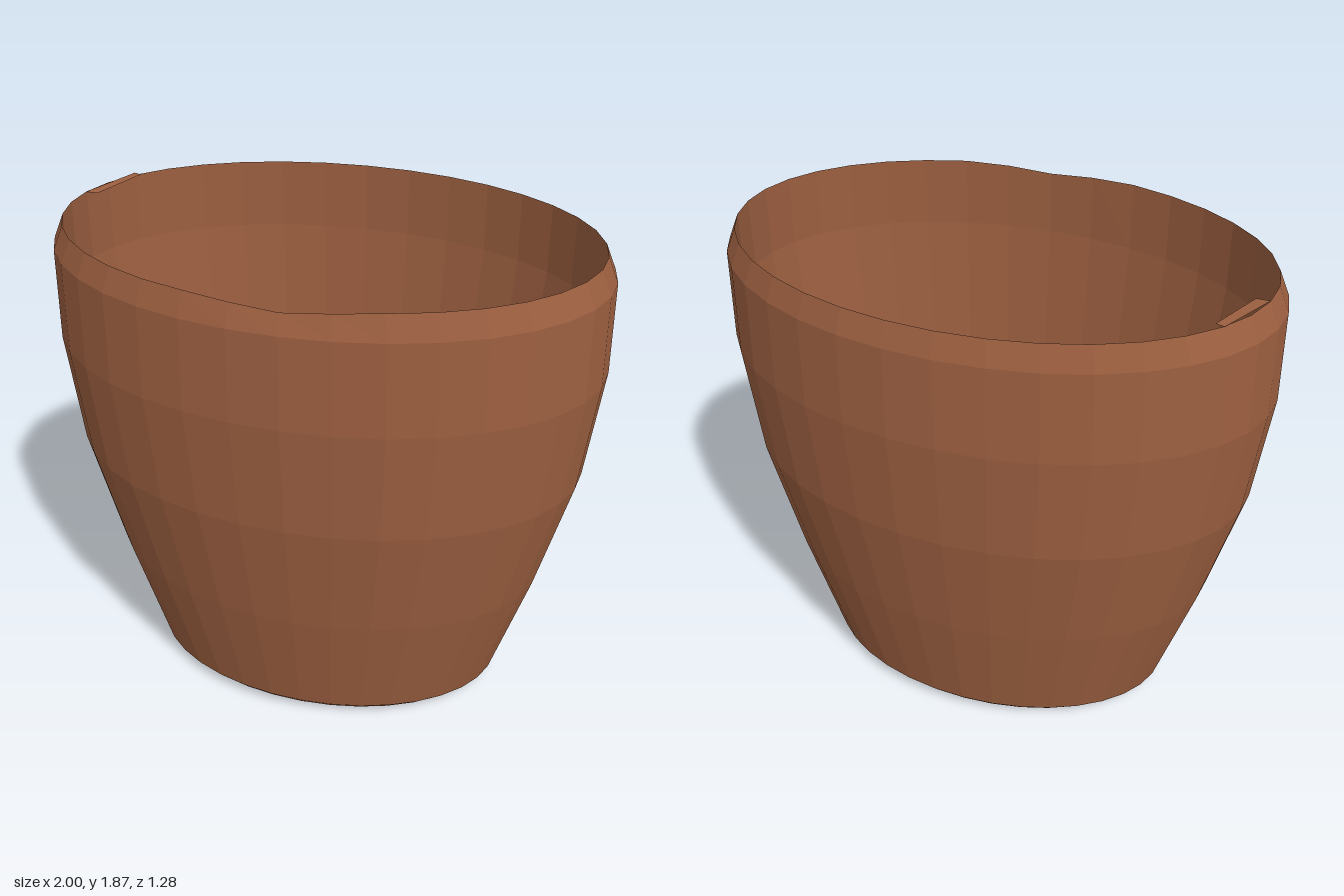
import * as THREE from 'three';

const SIDES = 36;
const DEPTH = 0.642; // oval: depth relative to width

// Lathe a profile of [radius, height] pairs, squash it to an oval and dip the front lip
function ovalLathe(profile) {
  const pts = profile.map(([r, y]) => new THREE.Vector2(r, y));
  const geo = new THREE.LatheGeometry(pts, SIDES);
  geo.scale(1, 1, DEPTH);
  const pos = geo.attributes.position;
  for (let i = 0; i < pos.count; i++) {
    const x = Math.abs(pos.getX(i));
    if (pos.getY(i) > 1.85 && pos.getZ(i) > 0 && x < 0.28) {
      pos.setY(i, pos.getY(i) - 0.02 * (1 - x / 0.28));
    }
  }
  geo.computeVertexNormals();
  return geo;
}

export function createModel() {
  const group = new THREE.Group();
  group.name = 'ovalPot';
  const clay = new THREE.MeshStandardMaterial({ color: 0x9c5f40, side: THREE.DoubleSide, flatShading: true });
  clay.name = 'terracotta';

  const add = (name, geo) => {
    const mesh = new THREE.Mesh(geo, clay);
    mesh.name = name;
    group.add(mesh);
  };

  // Outer wall with shallow domed base and bevelled lip
  add('outerWall', ovalLathe([
    [0, 0], [0.4, 0.01], [0.67, 0.03], [0.7, 0.055], [0.84, 0.53],
    [0.955, 1.0], [1.0, 1.43], [0.99, 1.77], [0.95, 1.86],
  ]));

  // Inner wall from the lip down to the floor edge
  add('innerWall', ovalLathe([
    [0.95, 1.86], [0.955, 1.6], [0.9, 1.0], [0.82, 0.53], [0.7, 0.08],
  ]));

  // Flat inner floor
  const floor = new THREE.CircleGeometry(0.7, SIDES);
  floor.rotateX(-Math.PI / 2);
  floor.scale(1, 1, DEPTH);
  floor.translate(0, 0.08, 0);
  add('floor', floor);

  // Small raised sliver on the lip
  const chip = new THREE.BufferGeometry();
  chip.setAttribute('position', new THREE.Float32BufferAttribute([
    -0.83, 1.865, -0.31, -0.8, 1.865, -0.3, -0.89, 1.86, -0.1, -0.937, 1.86, -0.1,
  ], 3));
  chip.setIndex([0, 2, 1, 0, 3, 2]);
  chip.computeVertexNormals();
  add('lipSliver', chip);

  return group;
}
